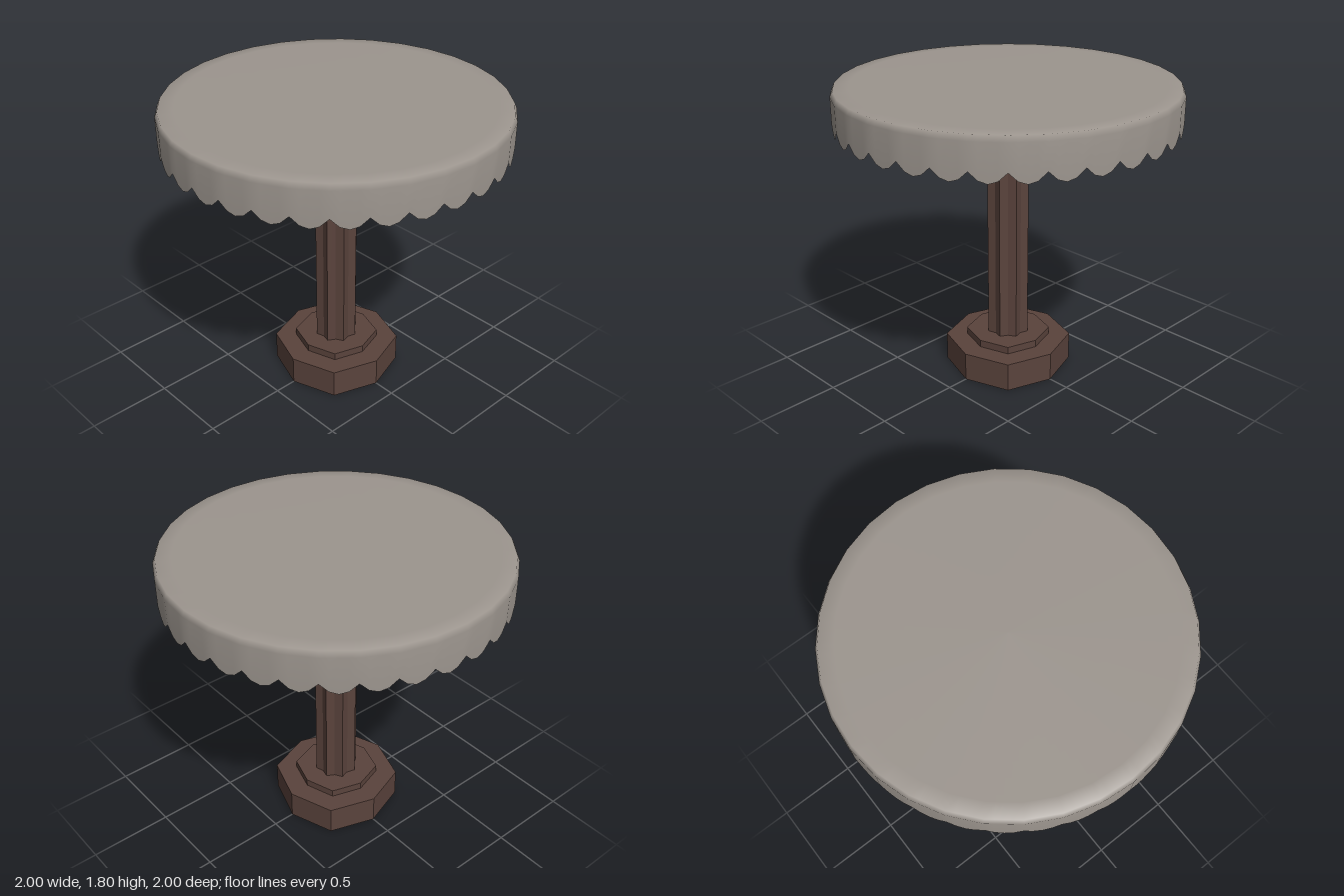
import * as THREE from 'three';

// Skin a stack of closed rings (bottom to top); each ring is an array of [x, y, z]
function loft(rings) {
  const n = rings[0].length;
  const index = [];
  for (let i = 0; i < rings.length - 1; i++) {
    for (let j = 0; j < n; j++) {
      const k = (j + 1) % n;
      const a = i * n + j, b = i * n + k, c = a + n, d = b + n;
      index.push(a, b, d, a, d, c);
    }
  }
  const geometry = new THREE.BufferGeometry();
  geometry.setAttribute('position', new THREE.Float32BufferAttribute(rings.flat(2), 3));
  geometry.setIndex(index);
  geometry.computeVertexNormals();
  return geometry;
}

function addMesh(group, name, geometry, material) {
  const mesh = new THREE.Mesh(geometry, material);
  mesh.name = name;
  group.add(mesh);
}

const polar = (r, a, y) => [r * Math.sin(a), y, r * Math.cos(a)];

// Polygon ring with straight sides, each split into `steps`; radii cycle over the corners
function polygonRing(sides, steps, radii, height) {
  const ring = [];
  for (let i = 0; i < sides; i++) {
    const p = polar(radii[i % radii.length], (i / sides) * Math.PI * 2, 0);
    const q = polar(radii[(i + 1) % radii.length], ((i + 1) / sides) * Math.PI * 2, 0);
    for (let s = 0; s < steps; s++) {
      const t = s / steps;
      ring.push([p[0] + (q[0] - p[0]) * t, height(t), p[2] + (q[2] - p[2]) * t]);
    }
  }
  return ring;
}

export function createModel() {
  const group = new THREE.Group();
  group.name = 'roundTable';

  const wood = new THREE.MeshStandardMaterial({ color: 0x5a433c, flatShading: true, side: THREE.DoubleSide });
  const cloth = new THREE.MeshStandardMaterial({ color: 0x9c958e, side: THREE.DoubleSide });

  // Hollow stepped octagonal foot, closing in on the fluted column
  const octagon = (r, diagonal, y) => polygonRing(8, 2, [r, diagonal], () => y);
  const fluted = (y, scale = 1) => polygonRing(16, 1, [0.107 * scale, 0.131 * scale], () => y);
  addMesh(group, 'base', loft([
    octagon(0.366, 0.386, 0),
    octagon(0.366, 0.386, 0.177),
    octagon(0.24, 0.257, 0.177),
    octagon(0.24, 0.257, 0.222),
    fluted(0.222),
  ]), wood);

  // Fluted column with a closed top just under the cloth
  addMesh(group, 'column', loft([fluted(0.222), fluted(1.625), fluted(1.625, 0)]), wood);

  // Cloth: scalloped hem, straight skirt, softly rounded rim and flat top
  const clothRing = (r, height) => polygonRing(32, 4, [r], height);
  const hem = (t) => 1.617 - 0.062 * Math.pow(Math.sin(Math.PI * t), 0.85);
  addMesh(group, 'tablecloth', loft([
    clothRing(1, hem),
    clothRing(1, () => 1.77),
    clothRing(0.985, () => 1.802),
    clothRing(0.9, () => 1.805),
    clothRing(0, () => 1.805),
  ]), cloth);

  return group;
}
